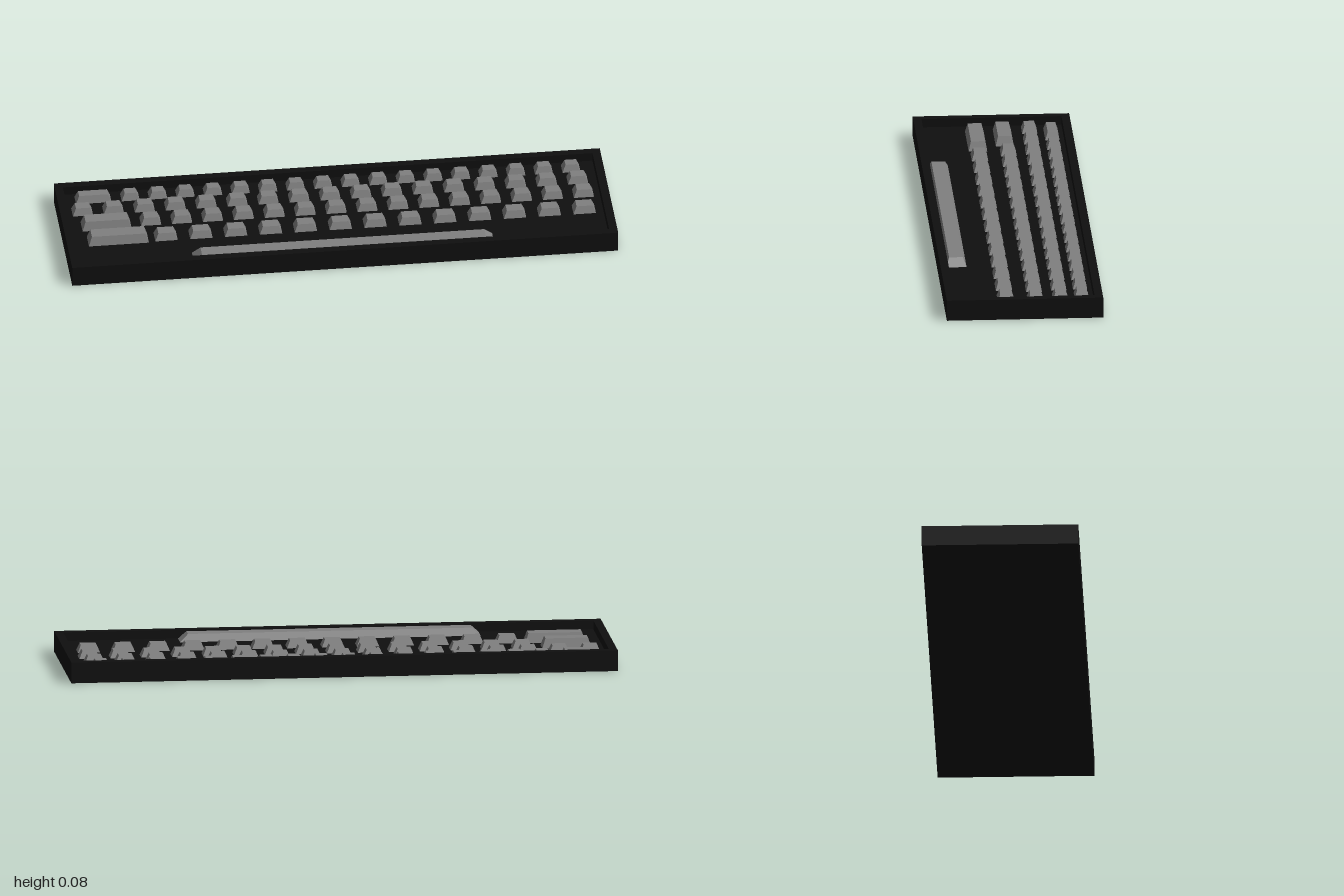
import * as THREE from 'three';

const caseMaterial = new THREE.MeshStandardMaterial({ color: 0x0f0f0f });
const keyMaterial = new THREE.MeshStandardMaterial({ color: 0x808080, flatShading: true });

const W = 2, D = 0.57, H = 0.077, RIM = 0.03, FLOOR = 0.045;

function rectangle(PathType, w, d) {
  const p = new PathType();
  p.moveTo(-w / 2, -d / 2);
  p.lineTo(w / 2, -d / 2);
  p.lineTo(w / 2, d / 2);
  p.lineTo(-w / 2, d / 2);
  p.closePath();
  return p;
}

// Tapered keycap: the upper corners of a box are pulled inward
function keycap(name, x, z, w, d, top, insetX = 0.012, insetZ = 0.009) {
  const h = top - FLOOR;
  const geometry = new THREE.BoxGeometry(w, h, d);
  const p = geometry.attributes.position;
  for (let i = 0; i < p.count; i++) {
    if (p.getY(i) < 0) continue;
    p.setX(i, p.getX(i) - Math.sign(p.getX(i)) * insetX);
    p.setZ(i, p.getZ(i) - Math.sign(p.getZ(i)) * insetZ);
  }
  geometry.computeVertexNormals();
  const mesh = new THREE.Mesh(geometry, keyMaterial);
  mesh.name = name;
  mesh.position.set(x, FLOOR + h / 2, z);
  return mesh;
}

export function createModel() {
  const model = new THREE.Group();
  model.name = 'keyboard';

  // Case: a tray floor with a raised rim around it
  const tray = new THREE.Mesh(new THREE.BoxGeometry(W, FLOOR, D), caseMaterial);
  tray.name = 'caseFloor';
  tray.position.y = FLOOR / 2;
  const shape = rectangle(THREE.Shape, W, D);
  shape.holes.push(rectangle(THREE.Path, W - 2 * RIM, D - 2 * RIM));
  const rimGeometry = new THREE.ExtrudeGeometry(shape, { depth: H - FLOOR, bevelEnabled: false });
  rimGeometry.rotateX(-Math.PI / 2);
  const rim = new THREE.Mesh(rimGeometry, caseMaterial);
  rim.name = 'caseRim';
  rim.position.y = FLOOR;
  model.add(tray, rim);

  // Rows of equal keys, back to front
  const rows = [
    { name: 'backRow', z: -0.212, from: -0.73, to: 0.885, count: 17, w: 0.066, d: 0.052 },
    { name: 'upperRow', z: -0.134, from: -0.914, to: 0.9, count: 17, w: 0.074, d: 0.056 },
    { name: 'middleRow', z: -0.043, from: -0.675, to: 0.91, count: 15, w: 0.074, d: 0.058 },
    { name: 'lowerRow', z: 0.065, from: -0.632, to: 0.9, count: 13, w: 0.082, d: 0.06 },
  ];
  for (const r of rows) {
    const row = new THREE.Group();
    row.name = r.name;
    for (let i = 0; i < r.count; i++) {
      const x = r.from + (r.to - r.from) * i / (r.count - 1);
      row.add(keycap('key', x, r.z, r.w, r.d, 0.073));
    }
    model.add(row);
  }

  // Wide keys at the row starts; two stand slightly proud of the rim
  model.add(
    keycap('wideBackKey', -0.865, -0.212, 0.13, 0.052, 0.074),
    keycap('wideMiddleKey', -0.838, -0.035, 0.18, 0.066, 0.08),
    keycap('wideLowerKey', -0.807, 0.066, 0.22, 0.068, 0.08),
    keycap('spaceBar', 0, 0.222, 1.1, 0.074, 0.073, 0.03, 0.012),
  );
  return model;
}
